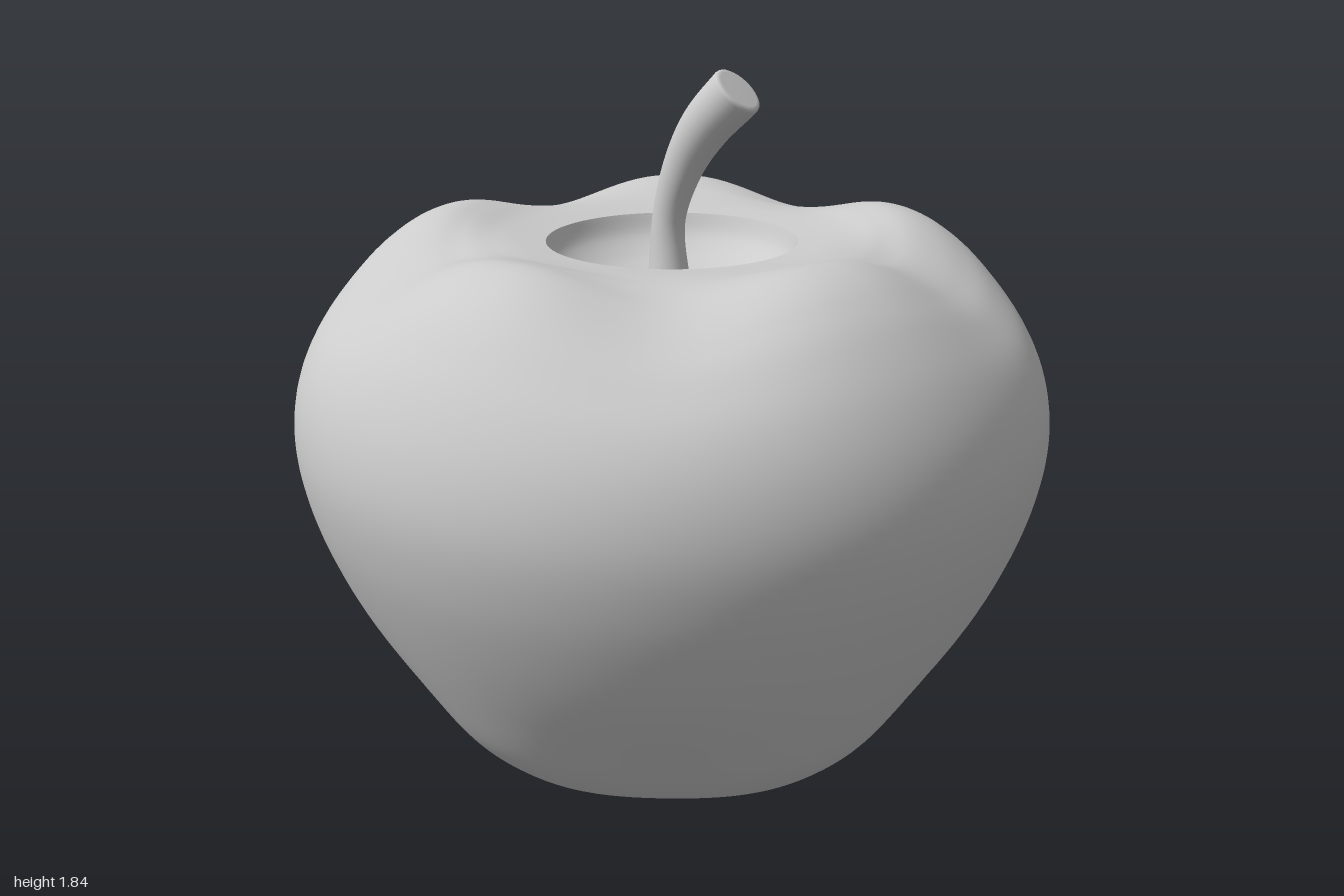
import * as THREE from 'three';
import { mergeVertices } from 'three/addons/utils/BufferGeometryUtils.js';

const material = new THREE.MeshStandardMaterial({ color: 0xcccccc });

function addMesh(group, name, geometry) {
  const mesh = new THREE.Mesh(geometry, material);
  mesh.name = name;
  group.add(mesh);
}

// Smooth profile [radius, height] turned about the y axis, then shaped by a rule
function turned(points, steps, shape) {
  const curve = new THREE.SplineCurve(points.map(([r, y]) => new THREE.Vector2(r, y)));
  const profile = curve.getPoints(steps);
  profile.forEach(p => { p.x = Math.max(p.x, 0); });
  let geometry = new THREE.LatheGeometry(profile, 140);
  geometry.deleteAttribute('uv');
  geometry.deleteAttribute('normal');
  geometry = mergeVertices(geometry, 1e-5);
  if (shape) {
    const pos = geometry.attributes.position;
    const v = new THREE.Vector3();
    for (let i = 0; i < pos.count; i++) {
      shape(v.fromBufferAttribute(pos, i));
      pos.setXYZ(i, v.x, v.y, v.z);
    }
  }
  geometry.computeVertexNormals();
  return geometry;
}

const bell = (t, centre, width) => Math.exp(-(((t - centre) / width) ** 2));

// Five lobes, one facing the front, with shallow valleys at the shoulder and foot
function lobes(v) {
  const r = Math.hypot(v.x, v.z);
  const valley = ((1 - Math.cos(5 * Math.atan2(v.x, v.z))) / 2) ** 1.2;
  if (v.y > 0.95) {
    const fade = THREE.MathUtils.smoothstep(r, 0.36, 0.6) * THREE.MathUtils.smoothstep(v.y, 0.95, 1.3);
    v.y -= 0.08 * valley * fade * bell(r, 0.7, 0.22);
  } else {
    const squeeze = 1 - 0.06 * valley * bell(v.y, 0.17, 0.2);
    v.x *= squeeze;
    v.z *= squeeze;
  }
}

// Round tube along a curve with a varying radius, capped by a small rounded end
function taperedTube(path, radii, rings, sides) {
  const frames = path.computeFrenetFrames(rings, false);
  const radiusCurve = new THREE.SplineCurve(radii.map((r, i) => new THREE.Vector2(i, r)));
  const positions = [], index = [];
  const addRing = (centre, i, r) => {
    for (let j = 0; j < sides; j++) {
      const a = (j / sides) * Math.PI * 2;
      const p = centre.clone()
        .addScaledVector(frames.normals[i], Math.cos(a) * r)
        .addScaledVector(frames.binormals[i], Math.sin(a) * r);
      positions.push(p.x, p.y, p.z);
    }
  };
  for (let i = 0; i <= rings; i++) {
    addRing(path.getPoint(i / rings), i, radiusCurve.getPoint(i / rings).y);
  }
  const tip = path.getPoint(1), out = frames.tangents[rings];
  const endRadius = radii[radii.length - 1];
  const cap = [[0.97, 0.006], [0.9, 0.009], [0.8, 0.01], [0, 0.01]];
  cap.forEach(([s, d]) => addRing(tip.clone().addScaledVector(out, d), rings, endRadius * s));
  for (let i = 0; i < rings + cap.length; i++) {
    for (let j = 0; j < sides; j++) {
      const a = i * sides + j, b = i * sides + (j + 1) % sides;
      index.push(a, b, a + sides, b, b + sides, a + sides);
    }
  }
  let geometry = new THREE.BufferGeometry();
  geometry.setAttribute('position', new THREE.Float32BufferAttribute(positions, 3));
  geometry.setIndex(index);
  geometry = mergeVertices(geometry, 1e-5);
  geometry.computeVertexNormals();
  return geometry;
}

export function createModel() {
  const group = new THREE.Group();
  group.name = 'apple';

  // Fruit from the dimple underneath up to the rim of the stem hollow
  addMesh(group, 'fruitBody', turned([
    [0, 0.075], [0.1, 0.07], [0.22, 0.042], [0.32, 0.013], [0.41, 0], [0.5, 0.02],
    [0.6, 0.083], [0.71, 0.2], [0.82, 0.39], [0.915, 0.59], [0.975, 0.76], [1, 0.92],
    [0.98, 1.07], [0.92, 1.21], [0.83, 1.33], [0.75, 1.4], [0.68, 1.438], [0.61, 1.452],
    [0.54, 1.44], [0.47, 1.42], [0.4, 1.408], [0.33, 1.4],
  ], 130, lobes));

  // Bowl around the stem, dropping into a small well at its middle
  addMesh(group, 'stemHollow', turned([
    [0.33, 1.4], [0.305, 1.345], [0.25, 1.3], [0.19, 1.275], [0.14, 1.262],
    [0.11, 1.247], [0.088, 1.215], [0.07, 1.18], [0, 1.17],
  ], 48));

  // Bent stem, thick at both ends
  const path = new THREE.CatmullRomCurve3([
    [0, 1.17, 0], [-0.015, 1.31, -0.005], [-0.018, 1.45, -0.01],
    [0.025, 1.59, -0.015], [0.09, 1.7, -0.022], [0.178, 1.793, -0.032],
  ].map(p => new THREE.Vector3(...p)));
  addMesh(group, 'stem', taperedTube(path, [0.08, 0.054, 0.044, 0.053, 0.065, 0.071], 40, 32));

  return group;
}
